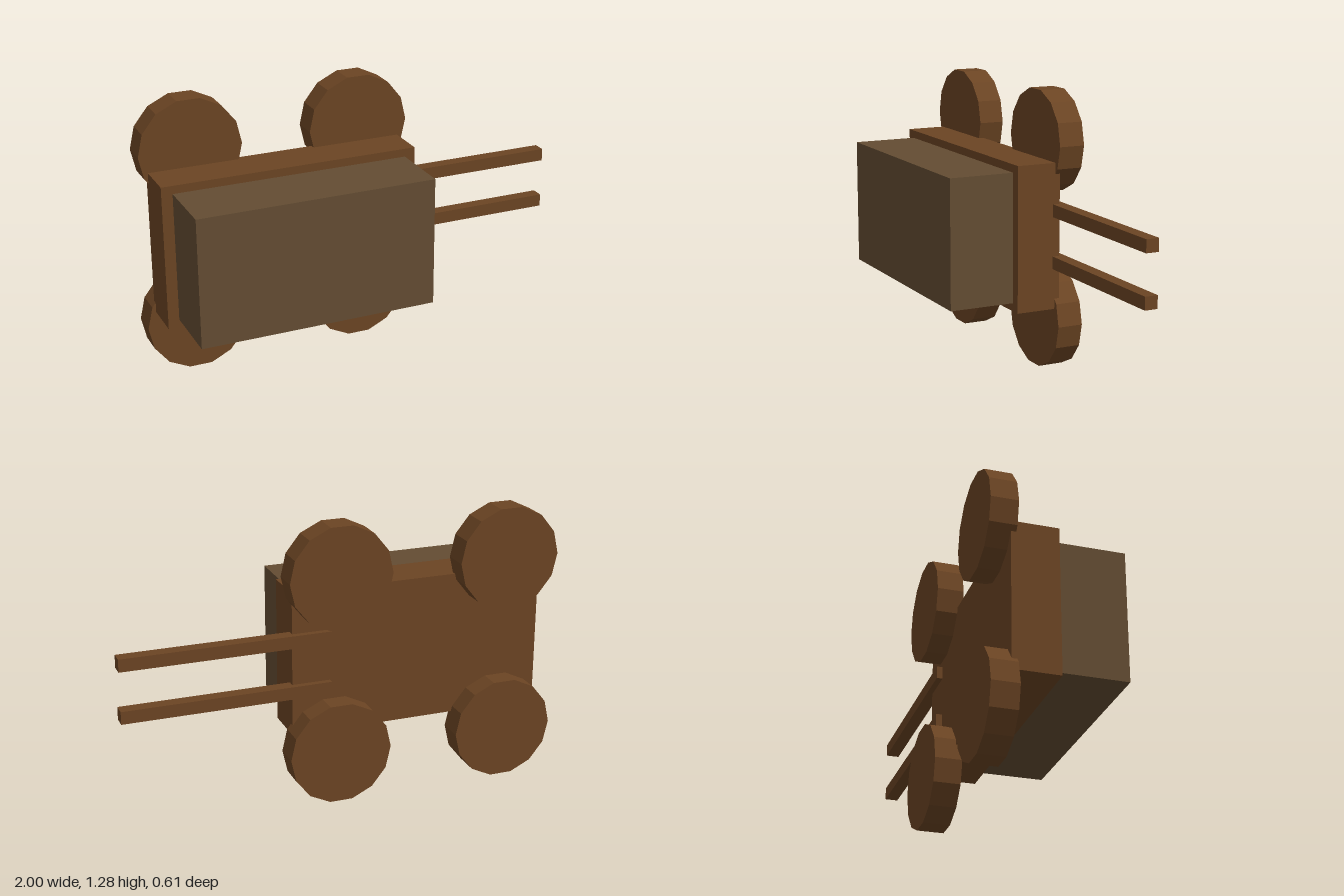
import * as THREE from 'three';

const wood = new THREE.MeshStandardMaterial({ color: 0x6b4423, flatShading: true });
const cargo = new THREE.MeshStandardMaterial({ color: 0x634c32, flatShading: true });

// Box given by its minimum and maximum corners
function box(name, min, max, material) {
  const size = max.map((v, i) => v - min[i]);
  const mesh = new THREE.Mesh(new THREE.BoxGeometry(...size), material);
  mesh.position.set(...max.map((v, i) => (v + min[i]) / 2));
  mesh.name = name;
  return mesh;
}

export function createModel() {
  const cart = new THREE.Group();
  cart.name = 'cart';

  // Bed and the load box on it
  cart.add(box('bed', [-0.96, 0.308, -0.208], [0.226, 0.974, 0], wood));
  cart.add(box('loadBox', [-0.91, 0.345, 0], [0.178, 0.937, 0.305], cargo));

  // Pair of pull shafts
  for (const y of [0.522, 0.759]) {
    cart.add(box('shaft', [0.05, y - 0.029, -0.235], [1, y + 0.029, -0.175], wood));
  }

  // Four 14-sided wheels lying behind the bed, axes along z
  const wheelGeometry = new THREE.CylinderGeometry(0.2365, 0.2365, 0.12, 14, 1, false, Math.PI / 2);
  wheelGeometry.rotateX(Math.PI / 2);
  for (const x of [-0.7635, 0.031]) {
    for (const y of [0.2306, 1.049]) {
      const wheel = new THREE.Mesh(wheelGeometry, wood);
      wheel.name = 'wheel';
      wheel.position.set(x, y, -0.245);
      cart.add(wheel);
    }
  }
  return cart;
}
